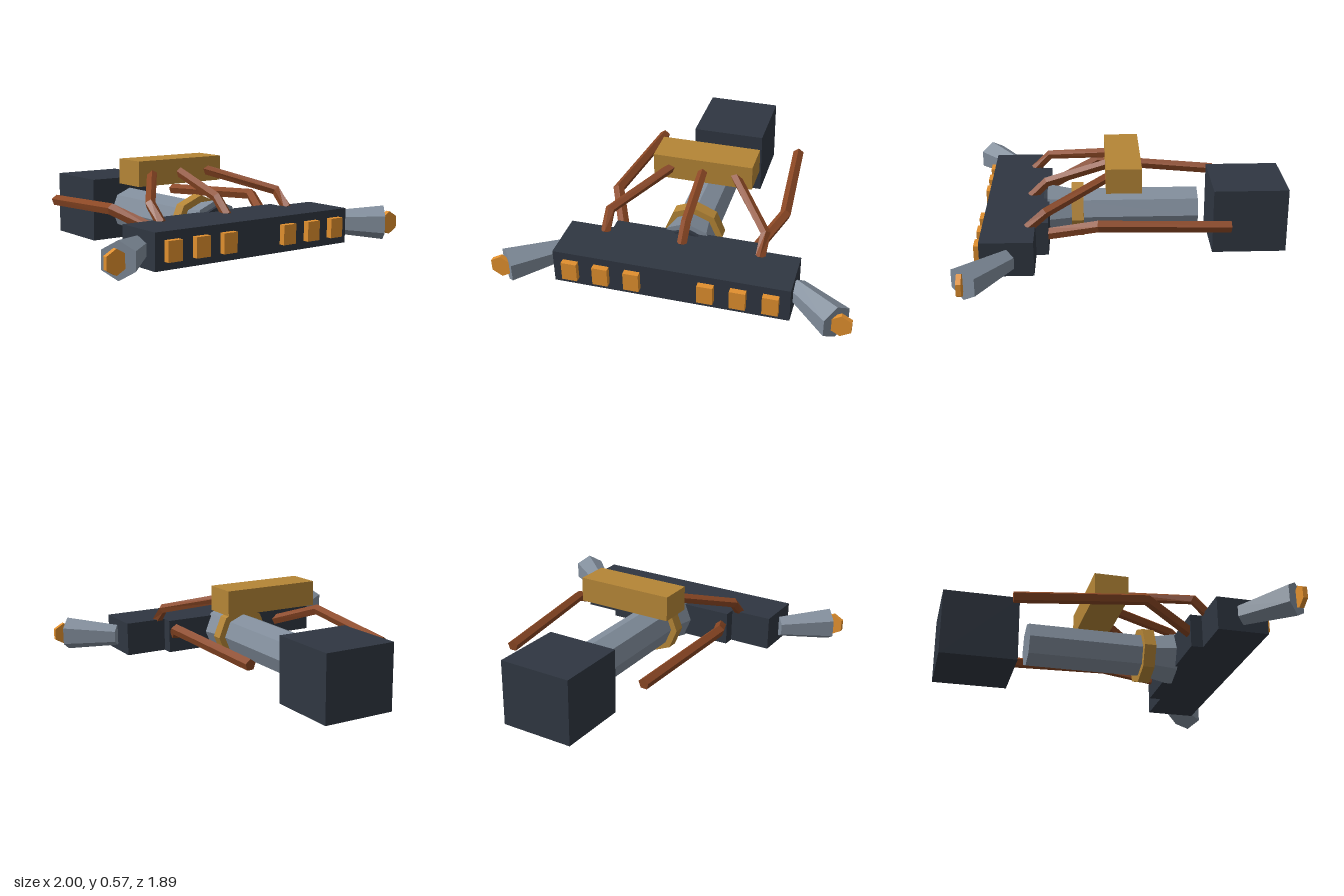
import * as THREE from 'three';

const paint = (color) => new THREE.MeshStandardMaterial({ color, flatShading: true });

export function createModel() {
  const model = new THREE.Group();
  const dark = paint(0x2f3641), grey = paint(0x808c9a), gold = paint(0xb48536);
  const brown = paint(0x8a4724), orange = paint(0xe08f2e);

  const add = (name, geometry, material) => {
    const mesh = new THREE.Mesh(geometry, material);
    mesh.name = name;
    model.add(mesh);
    return mesh;
  };

  // Box given by its limits on each axis
  const box = (name, material, [x0, x1], [y0, y1], [z0, z1]) =>
    add(name, new THREE.BoxGeometry(x1 - x0, y1 - y0, z1 - z0), material)
      .position.set((x0 + x1) / 2, (y0 + y1) / 2, (z0 + z1) / 2);

  // Faceted cylinder running along z, with a corner pointing up
  const drum = (name, material, rBack, rFront, z0, z1, sides = 8, x = 0, y = 0.2) => {
    const geometry = new THREE.CylinderGeometry(rFront, rBack, z1 - z0, sides).rotateX(Math.PI / 2);
    add(name, geometry, material).position.set(x, y, (z0 + z1) / 2);
  };

  // Five-sided bar swept through a few points, with closed ends
  const bar = (name, radius, points) => {
    const path = points.map((p) => new THREE.Vector3(...p));
    const n = 5, last = path.length - 1, up = new THREE.Vector3(0, 1, 0);
    const positions = [], index = [];
    path.forEach((p, i) => {
      const t = new THREE.Vector3();
      if (i > 0) t.add(p.clone().sub(path[i - 1]).normalize());
      if (i < last) t.add(path[i + 1].clone().sub(p).normalize());
      t.normalize();
      const side = up.clone().cross(t).normalize();
      const top = t.clone().cross(side);
      for (let k = 0; k < n; k++) {
        const a = (k / n) * Math.PI * 2;
        const v = p.clone().addScaledVector(side, radius * Math.sin(a)).addScaledVector(top, radius * Math.cos(a));
        positions.push(v.x, v.y, v.z);
      }
    });
    for (let i = 0; i < last; i++) {
      for (let k = 0; k < n; k++) {
        const a = i * n + k, b = i * n + (k + 1) % n;
        index.push(a, a + n, b, b, a + n, b + n);
      }
    }
    const e = last * n;
    for (let k = 1; k < n - 1; k++) index.push(0, k, k + 1, e, e + k + 1, e + k);
    const geometry = new THREE.BufferGeometry();
    geometry.setAttribute('position', new THREE.Float32BufferAttribute(positions, 3));
    geometry.setIndex(index);
    // Reverse the winding if it faces inwards
    const v = [0, 1, 2].map((j) => new THREE.Vector3().fromArray(positions, index[j] * 3));
    const normal = v[1].clone().sub(v[0]).cross(v[2].clone().sub(v[0]));
    if (normal.dot(v[0].clone().sub(path[0])) < 0) geometry.setIndex(index.reverse());
    const flat = geometry.toNonIndexed();
    flat.computeVertexNormals();
    add(name, flat, brown);
  };

  // Hull blocks
  box('crossBody', dark, [-0.665, 0.665], [0.1, 0.3], [0.52, 0.815]);
  box('crossBodyBack', dark, [-0.415, 0.415], [0.1, 0.3], [0.45, 0.52]);
  box('rearBlock', dark, [-0.22, 0.22], [0, 0.39], [-0.95, -0.51]);
  box('upperBlock', gold, [-0.295, 0.295], [0.42, 0.567], [-0.085, 0.12]);

  // Central barrel with flared mouth and collar
  drum('barrel', grey, 0.132, 0.132, -0.43, 0.32);
  drum('barrelFlare', grey, 0.125, 0.162, 0.29, 0.462);
  drum('barrelPlug', dark, 0.13, 0.13, 0.44, 0.484);
  drum('collar', gold, 0.172, 0.172, 0.25, 0.32);

  // Centre strut to the upper block
  bar('centreStrut', 0.03, [[0, 0.285, 0.56], [0, 0.378, 0.465], [0, 0.487, 0.11]]);

  for (const s of [-1, 1]) {
    // Front lamps
    for (const x of [0.207, 0.385, 0.563]) {
      const edges = [s * x - 0.044, s * x + 0.044];
      box('lamp', orange, edges, [0.145, 0.256], [0.81, 0.85]);
    }

    // Angled side horn with its end cap
    const from = new THREE.Vector3(s * 0.671, 0.2, 0.666), to = new THREE.Vector3(s * 0.917, 0.2, 0.874);
    const horn = add('sideHorn',
      new THREE.CylinderGeometry(0.1, 0.064, from.distanceTo(to), 6).rotateX(Math.PI / 2), grey);
    horn.position.copy(from).lerp(to, 0.5);
    horn.rotation.y = Math.atan2(to.x - from.x, to.z - from.z);
    drum('hornCap', orange, 0.066, 0.066, 0.873, 0.9, 6, s * 0.943);

    // Side struts and long rear rails
    bar('sideStrut', 0.03, [[s * 0.447, 0.285, 0.56], [s * 0.45, 0.38, 0.46], [s * 0.19, 0.487, 0.1]]);
    bar('rearRail', 0.034, [[s * 0.37, 0.21, 0.46], [s * 0.507, 0.317, 0.165], [s * 0.447, 0.272, -0.58]]);
  }

  return model;
}
